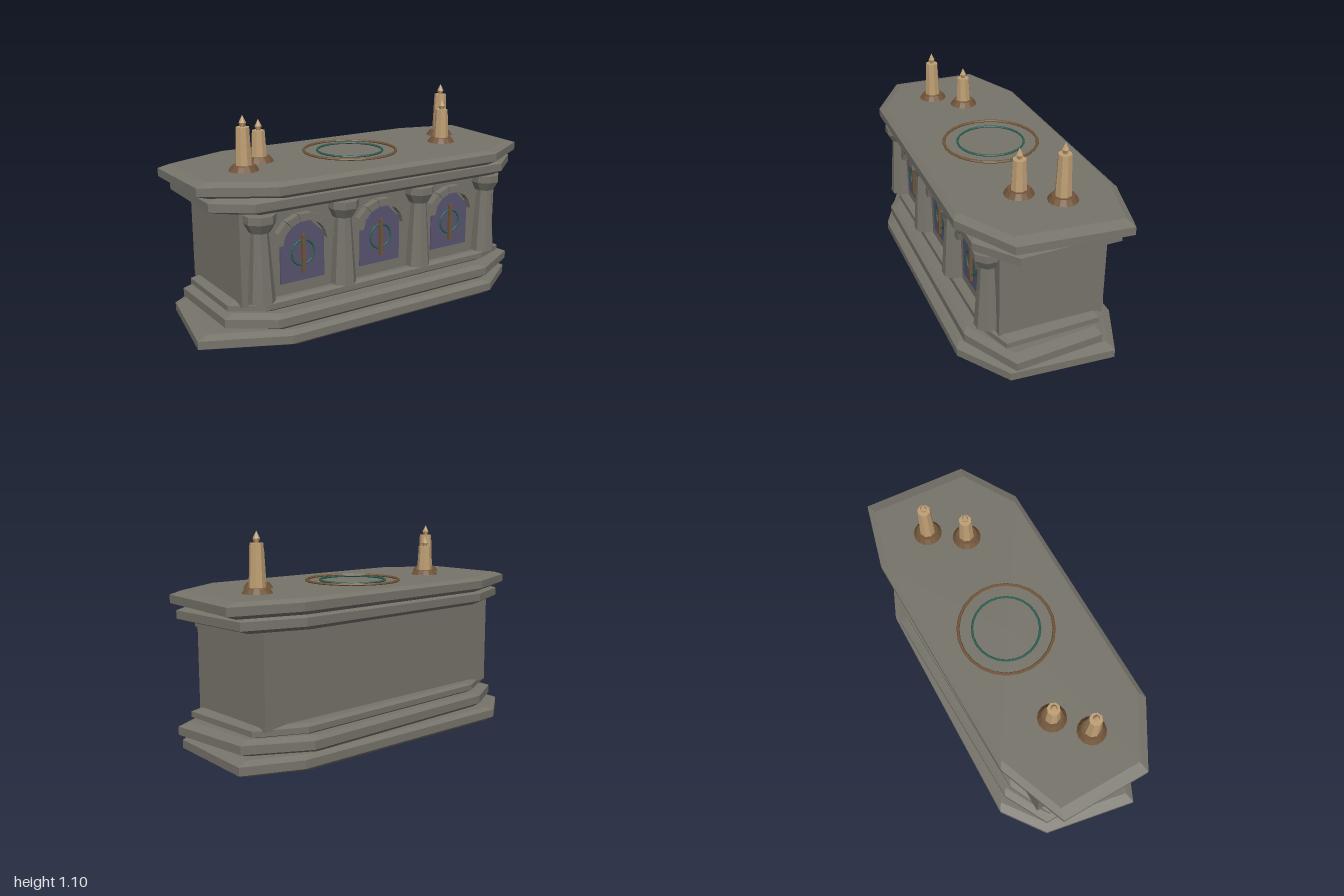
import * as THREE from 'three';

const mat = (name, color) => {
  const m = new THREE.MeshStandardMaterial({ color });
  m.name = name;
  return m;
};

export function createModel() {
  const group = new THREE.Group();
  group.name = 'altar';
  const stone = mat('stone', 0x76736a);
  const panelBlue = mat('dusky violet', 0x565370);
  const teal = mat('dark teal', 0x2c5c50);
  const bronze = mat('bronze', 0x705438);
  const wax = mat('wax', 0xbf9f74);

  const add = (name, geo, material, x = 0, y = 0, z = 0, parent = group) => {
    const mesh = new THREE.Mesh(geo.index ? geo.toNonIndexed() : geo, material);
    mesh.geometry.computeVertexNormals(); // flat facets
    mesh.name = name;
    mesh.position.set(x, y, z);
    parent.add(mesh);
    return mesh;
  };

  // Irregular eight-sided slab with chamfered top and bottom edges
  const slab = (name, outline, y0, y1) => {
    const h = y1 - y0;
    const rings = [[0, 0.94], [0.25, 1], [0.78, 1], [1, 0.94]].map(([t, s]) =>
      outline.map(([x, z]) => [x * s, y0 + t * h, z * s]));
    const pos = [];
    const n = outline.length;
    for (let i = 0; i < n; i++) {
      const j = (i + 1) % n;
      for (let k = 0; k < 3; k++) {
        const [a, b, c, d] = [rings[k][i], rings[k][j], rings[k + 1][j], rings[k + 1][i]];
        pos.push(...a, ...b, ...c, ...a, ...c, ...d);
      }
      pos.push(0, y1, 0, ...rings[3][i], ...rings[3][j]);
      pos.push(0, y0, 0, ...rings[0][j], ...rings[0][i]);
    }
    const geo = new THREE.BufferGeometry();
    geo.setAttribute('position', new THREE.Float32BufferAttribute(pos, 3));
    add(name, geo, stone);
  };

  slab('baseSlab', [[-1, 0.235], [-0.6, 0.425], [0.65, 0.435], [0.91, 0.26],
    [0.945, -0.27], [0.66, -0.395], [-0.67, -0.435], [-0.9, -0.27]], 0, 0.078);
  slab('lowerStep', [[-0.86, 0.24], [-0.65, 0.385], [0.65, 0.395], [0.94, 0.245],
    [0.9, -0.22], [0.6, -0.39], [-0.62, -0.375], [-0.86, -0.25]], 0.076, 0.156);
  slab('upperStep', [[-0.835, 0.22], [-0.68, 0.32], [0.68, 0.32], [0.855, 0.26],
    [0.84, -0.23], [0.6, -0.345], [-0.6, -0.33], [-0.83, -0.22]], 0.154, 0.208);
  slab('cornice', [[-0.92, 0.24], [-0.75, 0.37], [0.74, 0.385], [0.935, 0.235],
    [0.92, -0.27], [0.62, -0.365], [-0.62, -0.36], [-0.9, -0.25]], 0.655, 0.731);
  slab('tableTop', [[-0.965, 0.22], [-0.65, 0.415], [0.65, 0.435], [0.95, 0.265],
    [1, -0.285], [0.65, -0.385], [-0.6, -0.385], [-0.96, -0.25]], 0.729, 0.806);

  add('body', new THREE.BoxGeometry(1.58, 0.48, 0.545), stone, 0.005, 0.43, 0.002);

  // Tapered columns with flared capitals
  const columnProfile = [[0, 0.215], [0.067, 0.215], [0.042, 0.56], [0.052, 0.56],
    [0.08, 0.608], [0.08, 0.645], [0, 0.645]].map(p => new THREE.Vector2(...p));
  for (const x of [-0.692, -0.23, 0.243, 0.703]) {
    add('column', new THREE.LatheGeometry(columnProfile, 8, Math.PI / 8), stone, x, 0, 0.295);
  }

  // Three arched bays
  const panelShape = new THREE.Shape([[-0.123, 0.267], [0.123, 0.267], [0.123, 0.49],
    [0.035, 0.575], [0, 0.597], [-0.035, 0.575], [-0.123, 0.49]].map(p => new THREE.Vector2(...p)));
  const blocks = 7;
  for (const x of [-0.456, 0.005, 0.467]) {
    const bay = new THREE.Group();
    bay.name = 'archBay';
    bay.position.x = x;
    group.add(bay);
    add('panel', new THREE.ExtrudeGeometry(panelShape, { depth: 0.009, bevelEnabled: false }),
      panelBlue, 0, 0, 0.273, bay);
    // Wedge stones around the arch
    for (let i = 0; i < blocks; i++) {
      const a0 = Math.PI * i / blocks + 0.008, a1 = Math.PI * (i + 1) / blocks - 0.008;
      const at = (r, a) => new THREE.Vector2(Math.cos(a) * r, Math.sin(a) * r * 0.88);
      const wedge = new THREE.Shape([at(0.122, a0), at(0.165, a0), at(0.165, a1), at(0.122, a1)]);
      add('archStone', new THREE.ExtrudeGeometry(wedge, { depth: 0.045, bevelEnabled: false }),
        stone, 0, 0.47, 0.268, bay);
    }
    add('emblemRing', new THREE.TorusGeometry(0.063, 0.006, 6, 18), teal, 0, 0.41, 0.286, bay);
    add('emblemBar', new THREE.BoxGeometry(0.016, 0.195, 0.016), bronze, 0, 0.405, 0.29, bay);
  }

  // Inlaid circles on the table top
  const inlay = (name, r, tube, material) => {
    const ring = add(name, new THREE.TorusGeometry(r, tube, 6, 24), material, 0.008, 0.81, -0.001);
    ring.rotation.x = Math.PI / 2;
  };
  inlay('outerCircle', 0.244, 0.008, bronze);
  inlay('innerCircle', 0.173, 0.006, teal);

  // Candles on round dishes: x, z, top of wax
  const flameProfile = [[0, -0.01], [0.011, -0.01], [0.011, 0.002], [0.018, 0.02], [0, 0.057]]
    .map(p => new THREE.Vector2(...p));
  for (const [x, z, top] of [[-0.66, 0.09, 1.015], [-0.508, -0.043, 0.962],
    [0.562, 0.082, 0.985], [0.688, -0.083, 1.04]]) {
    const candle = new THREE.Group();
    candle.name = 'candle';
    candle.position.set(x, 0, z);
    group.add(candle);
    add('dish', new THREE.CylinderGeometry(0.055, 0.075, 0.027, 14), bronze, 0, 0.8185, 0, candle);
    const h = top - 0.825;
    add('waxStem', new THREE.CylinderGeometry(0.033, 0.041, h, 8), wax, 0, 0.825 + h / 2, 0, candle);
    add('flame', new THREE.LatheGeometry(flameProfile, 6), wax, 0, top, 0, candle);
  }

  return group;
}
